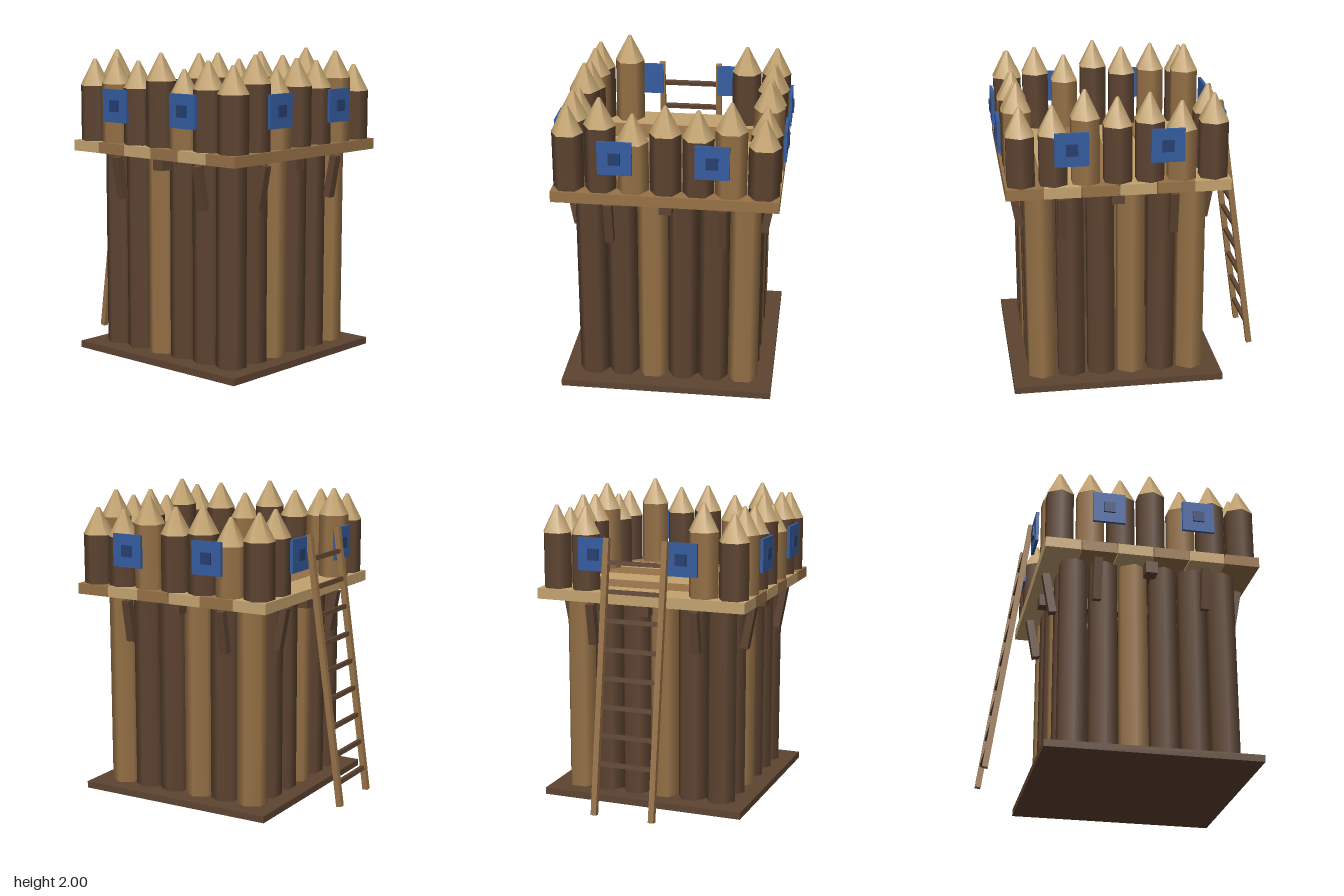
import * as THREE from 'three';

const mat = (name, color) => {
  const m = new THREE.MeshStandardMaterial({ color });
  m.name = name;
  return m;
};

export function createModel() {
  const darkWood = mat('dark wood', 0x5e4431);
  const brownWood = mat('brown wood', 0x977247);
  const tanWood = mat('tan wood', 0xc4a470);
  const blue = mat('shield blue', 0x345c9f);
  const darkBlue = mat('boss blue', 0x263f70);

  const model = new THREE.Group();
  model.name = 'watchtower';
  // everything but the ladder is centred on this pivot
  const tower = new THREE.Group();
  tower.name = 'tower';
  tower.position.z = 0.13;
  model.add(tower);

  const add = (parent, name, geometry, material, x, y, z) => {
    const mesh = new THREE.Mesh(geometry, material);
    mesh.name = name;
    mesh.position.set(x, y, z);
    parent.add(mesh);
    return mesh;
  };
  const box = (parent, name, material, w, h, d, x, y, z) =>
    add(parent, name, new THREE.BoxGeometry(w, h, d), material, x, y, z);
  // six-sided post with corners towards +x and -x
  const post = (parent, name, material, rTop, rBottom, y0, y1, x, z) =>
    add(parent, name, new THREE.CylinderGeometry(rTop, rBottom, y1 - y0, 6, 1, false, Math.PI / 6),
      material, x, (y0 + y1) / 2, z);

  // base slab
  box(tower, 'base', darkWood, 1.37, 0.045, 1.37, 0, 0.0225, 0);

  // wall logs around a 6 x 6 perimeter
  const step = 0.196;
  for (let i = 0; i < 6; i++) {
    for (let j = 0; j < 6; j++) {
      const endRow = j === 0 || j === 5;
      if (!endRow && i !== 0 && i !== 5) continue;
      const light = endRow ? i % 3 === 2 : j === 3;
      post(tower, 'wallLog', light ? brownWood : darkWood, 0.098, 0.098, 0.02, 1.34,
        (i - 2.5) * step, (2.5 - j) * step);
    }
  }

  // crossed beams below the platform
  box(tower, 'beamAlongX', darkWood, 1.28, 0.08, 0.08, 0, 1.3, 0);
  box(tower, 'beamAlongZ', darkWood, 0.08, 0.08, 1.28, 0, 1.3, 0);

  // platform planks, back to front
  for (let i = 0; i < 6; i++) {
    box(tower, 'plank', i % 2 ? brownWood : tanWood, 1.41, 0.07, 0.23, 0, 1.375, (i - 2.5) * 0.2355);
  }

  // pointed stakes
  const stake = (x, z, tip, light) => {
    const shoulder = tip - 0.175;
    post(tower, 'stake', light ? brownWood : darkWood, 0.098, 0.098, 1.4, shoulder, x, z);
    post(tower, 'stakePoint', tanWood, 0.01, 0.101, shoulder, tip, x, z);
  };
  const tips = [1.945, 2.0, 1.905, 1.965];
  const gap = 0.201;
  for (let i = 0; i < 7; i++) stake((i - 3) * gap, 3 * gap, tips[i % 4], i % 3 === 2);
  for (let k = 1; k < 6; k++) {
    const z = (k - 3) * gap;
    stake(3 * gap, z, tips[(k + 1) % 4], k % 3 === 1);
    stake(-3 * gap, z, tips[(k + 2) % 4], k % 3 === 1);
  }
  stake(3 * gap, -3 * gap, 1.945, false);
  stake(2 * gap, -3 * gap, 1.945, false);
  stake(-2 * gap, -3 * gap, 2.0, true);
  stake(-3 * gap, -3 * gap, 1.945, false);

  // braces and shields, a pair on each of the four sides
  for (let s = 0; s < 4; s++) {
    const side = new THREE.Group();
    side.name = 'sideFittings';
    side.rotation.y = s * Math.PI / 2;
    tower.add(side);
    for (const m of [-1, 1]) {
      const brace = box(side, 'brace', darkWood, 0.054, 0.28, 0.05, m * 0.355, 1.183, 0.624);
      brace.rotation.x = 0.18;
      box(side, 'shield', blue, 0.212, 0.212, 0.02, m * 0.296, 1.657, 0.717);
      box(side, 'shieldBoss', darkBlue, 0.074, 0.074, 0.014, m * 0.296, 1.657, 0.731);
    }
  }

  // ladder leaning on the back
  const ladder = new THREE.Group();
  ladder.name = 'ladder';
  ladder.position.set(0, 0.893, -0.725);
  ladder.rotation.x = 0.139;
  model.add(ladder);
  for (const m of [-1, 1]) box(ladder, 'rail', brownWood, 0.037, 1.77, 0.037, m * 0.197, 0, 0);
  for (let i = 0; i < 9; i++) {
    box(ladder, 'rung', darkWood, 0.37, 0.028, 0.028, 0, (i - 4) * 0.183, 0);
  }

  return model;
}
